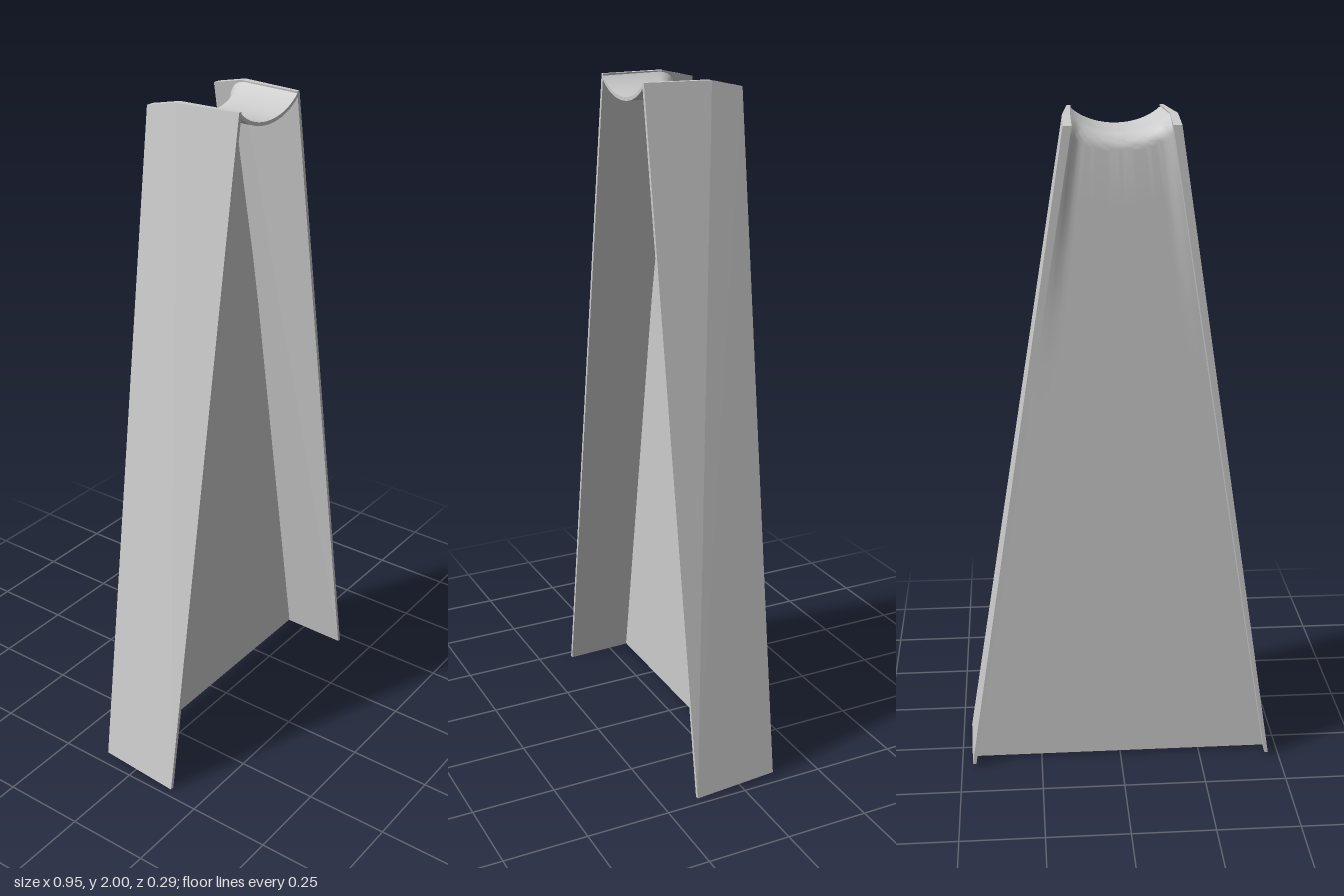
import * as THREE from 'three';
import { toCreasedNormals } from 'three/addons/utils/BufferGeometryUtils.js';

const FRONT = 0.143;
const lerp = THREE.MathUtils.lerp;
const smooth = THREE.MathUtils.smoothstep;

function toGeometry(positions) {
  const g = new THREE.BufferGeometry();
  g.setAttribute('position', new THREE.Float32BufferAttribute(positions, 3));
  g.computeVertexNormals();
  return g;
}

// Side flange: a tapering, slightly twisted plate with a clipped rear top corner
function flangeGeometry(side) {
  // y, z, outer x, inner x
  const corners = [
    [0, FRONT, 0.475, 0.464],
    [2, FRONT, 0.138, 0.127],
    [2, -0.05, 0.158, 0.136],
    [1.98, -0.143, 0.160, 0.136],
    [0.01, -0.113, 0.467, 0.456],
  ];
  const outer = corners.map(([y, z, x]) => [side * x, y, z]);
  const inner = corners.map(([y, z, , x]) => [side * x, y, z]);
  const out = [];
  const tri = (a, b, c) => out.push(...a, ...(side > 0 ? b : c), ...(side > 0 ? c : b));
  const n = corners.length;
  for (let i = 1; i < n - 1; i++) {
    tri(outer[0], outer[i + 1], outer[i]);
    tri(inner[0], inner[i], inner[i + 1]);
  }
  for (let i = 0; i < n; i++) {
    const j = (i + 1) % n;
    tri(outer[i], outer[j], inner[j]);
    tri(outer[i], inner[j], inner[i]);
  }
  return toGeometry(out);
}

// Half width of the panel, ending just inside the flanges
function halfWidth(y, z) {
  const k = y / 2;
  const b = (FRONT - z) / (2 * FRONT);
  return lerp(lerp(0.464, 0.456, b), lerp(0.127, 0.136, b), k) + 0.004;
}

// Panel: upright web that bends forward at the top into a hollowed saddle
function panelGeometry() {
  const cols = 32, bend = 10, webRows = 12;
  const r = 0.05, t = 0.01, back = -0.075;

  // Closed section of the sheet as [z, y]
  function section(u) {
    const top = 1.95 + 0.194 - Math.sqrt(0.194 ** 2 - (0.127 * u) ** 2);
    const face = (d) => {
      const pts = [];
      for (let i = 0; i < webRows; i++) {
        const k = i / webRows;
        pts.push([lerp(-0.068, back, k) + d, lerp(0.01, top - r, k)]);
      }
      for (let i = 0; i <= bend; i++) {
        const a = (i / bend) * Math.PI / 2;
        pts.push([back + r - (r - d) * Math.cos(a), top - r + (r - d) * Math.sin(a)]);
      }
      pts.push([FRONT, top - d]);
      return pts;
    };
    return [...face(0), ...face(t).reverse()];
  }

  const grid = [];
  for (let c = 0; c <= cols; c++) {
    const u = (c / cols) * 2 - 1;
    grid.push(section(u).map(([z, y]) => {
      // the upper side edges of the web curl slightly backwards
      const curl = 0.015 * smooth(Math.abs(u), 0.75, 1) * smooth(y, 1.3, 1.9) * (1 - smooth(z, -0.06, 0));
      return [u * halfWidth(y, z), y, z - curl];
    }));
  }
  const out = [];
  const n = grid[0].length;
  for (let c = 0; c < cols; c++) {
    for (let i = 0; i < n; i++) {
      const j = (i + 1) % n;
      const a = grid[c][i], b = grid[c][j], d = grid[c + 1][j], e = grid[c + 1][i];
      out.push(...a, ...b, ...d, ...a, ...d, ...e);
    }
  }
  return toCreasedNormals(toGeometry(out), 0.6);
}

export function createModel() {
  const group = new THREE.Group();
  group.name = 'saddleSupport';
  const material = new THREE.MeshStandardMaterial({ color: 0xcccccc });
  const add = (name, geometry) => {
    const mesh = new THREE.Mesh(geometry, material);
    mesh.name = name;
    group.add(mesh);
  };
  add('webAndSaddle', panelGeometry());
  add('leftFlange', flangeGeometry(1));
  add('rightFlange', flangeGeometry(-1));
  return group;
}
